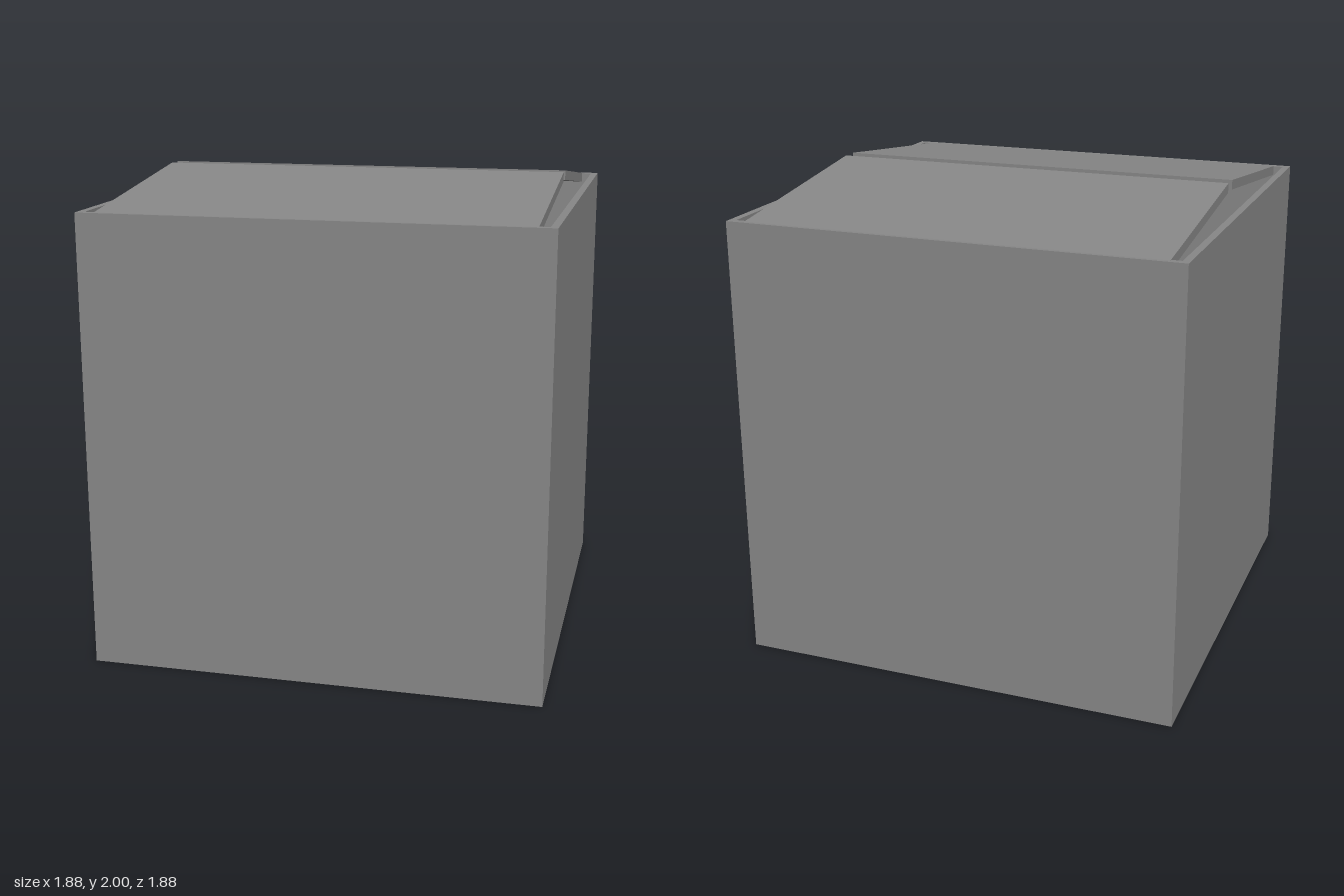
import * as THREE from 'three';

const HALF = 0.94;   // outer half width
const INNER = 0.91;  // inner half width
const HEIGHT = 1.895;
const FLOOR = 0.03;

const material = new THREE.MeshStandardMaterial({ color: 0x878787, flatShading: true });

function addMesh(parent, name, geometry) {
  const mesh = new THREE.Mesh(geometry, material);
  mesh.name = name;
  parent.add(mesh);
  return mesh;
}

// Corner points of a square centred on the origin
function square(half) {
  return [[-half, -half], [half, -half], [half, half], [-half, half]]
    .map(([x, y]) => new THREE.Vector2(x, y));
}

export function createModel() {
  const model = new THREE.Group();
  model.name = 'cardboardBox';

  // Hollow walls: a square ring extruded upwards
  const ring = new THREE.Shape(square(HALF));
  ring.holes.push(new THREE.Path(square(INNER).reverse()));
  const walls = new THREE.ExtrudeGeometry(ring, { depth: HEIGHT, bevelEnabled: false });
  walls.rotateX(-Math.PI / 2);
  addMesh(model, 'walls', walls);

  // Floor panel closing the bottom
  const floor = new THREE.BoxGeometry(INNER * 2, FLOOR, INNER * 2);
  floor.translate(0, FLOOR / 2, 0);
  addMesh(model, 'floor', floor);

  // Two lid flaps, hinged at the rim and rising to a narrow gap in the middle
  const width = 1.736;
  const profile = new THREE.Shape([
    [0.034, 1.96], [0.92, 1.854], [0.92, 1.895], [0.034, 2],
  ].map(([z, y]) => new THREE.Vector2(z, y)));
  const flap = new THREE.ExtrudeGeometry(profile, { depth: width, bevelEnabled: false });
  flap.translate(0, 0, -width / 2);
  flap.rotateY(-Math.PI / 2);
  addMesh(model, 'frontFlap', flap);
  addMesh(model, 'backFlap', flap).rotation.y = Math.PI;

  return model;
}
